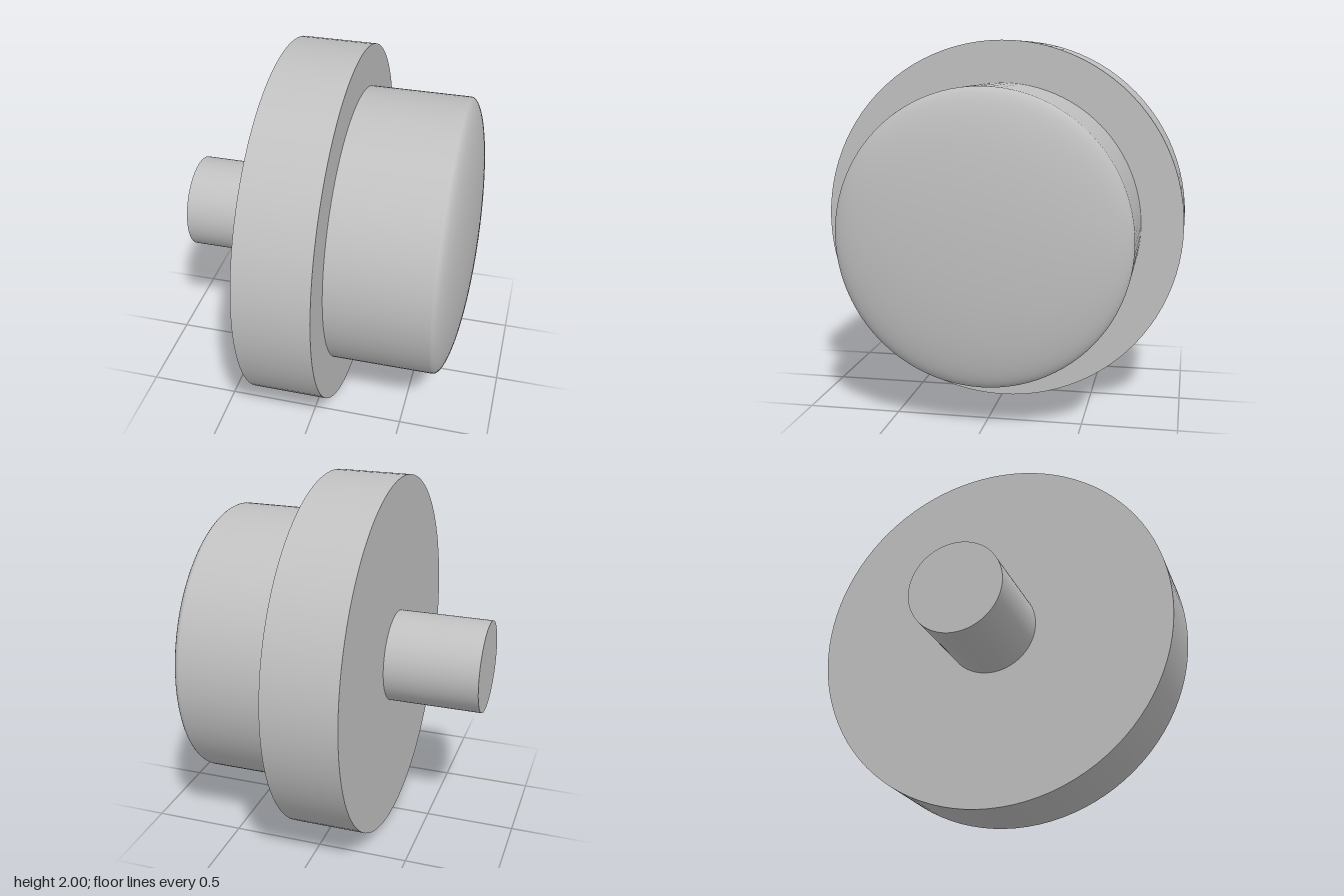
import * as THREE from 'three';

export function createModel() {
  const model = new THREE.Group();
  const grey = new THREE.MeshStandardMaterial({ color: 0xc0c0c0 });
  grey.name = 'plain grey';

  // All parts turn about one horizontal axis along x, at y = 1
  const add = (name, geometry, x) => {
    geometry.rotateZ(-Math.PI / 2);
    const mesh = new THREE.Mesh(geometry, grey);
    mesh.name = name;
    mesh.position.set(x, 1, 0);
    model.add(mesh);
  };
  const disc = (name, radius, x0, x1, sides) =>
    add(name, new THREE.CylinderGeometry(radius, radius, x1 - x0, sides), (x0 + x1) / 2);

  disc('stem', 0.255, -0.805, -0.285, 64);
  disc('flange', 1, -0.285, 0.12, 96);

  // Button: straight wall running smoothly into a shallow elliptical dome
  const radius = 0.77, wallEnd = 0.67, domeHeight = 0.13, steps = 24;
  const profile = [new THREE.Vector2(radius, 0.12)];
  for (let i = 0; i <= steps; i++) {
    const a = (i / steps) * Math.PI / 2;
    profile.push(new THREE.Vector2(
      i === steps ? 0 : radius * Math.cos(a),
      wallEnd + domeHeight * Math.sin(a)
    ));
  }
  add('domedButton', new THREE.LatheGeometry(profile, 96), 0);

  return model;
}
